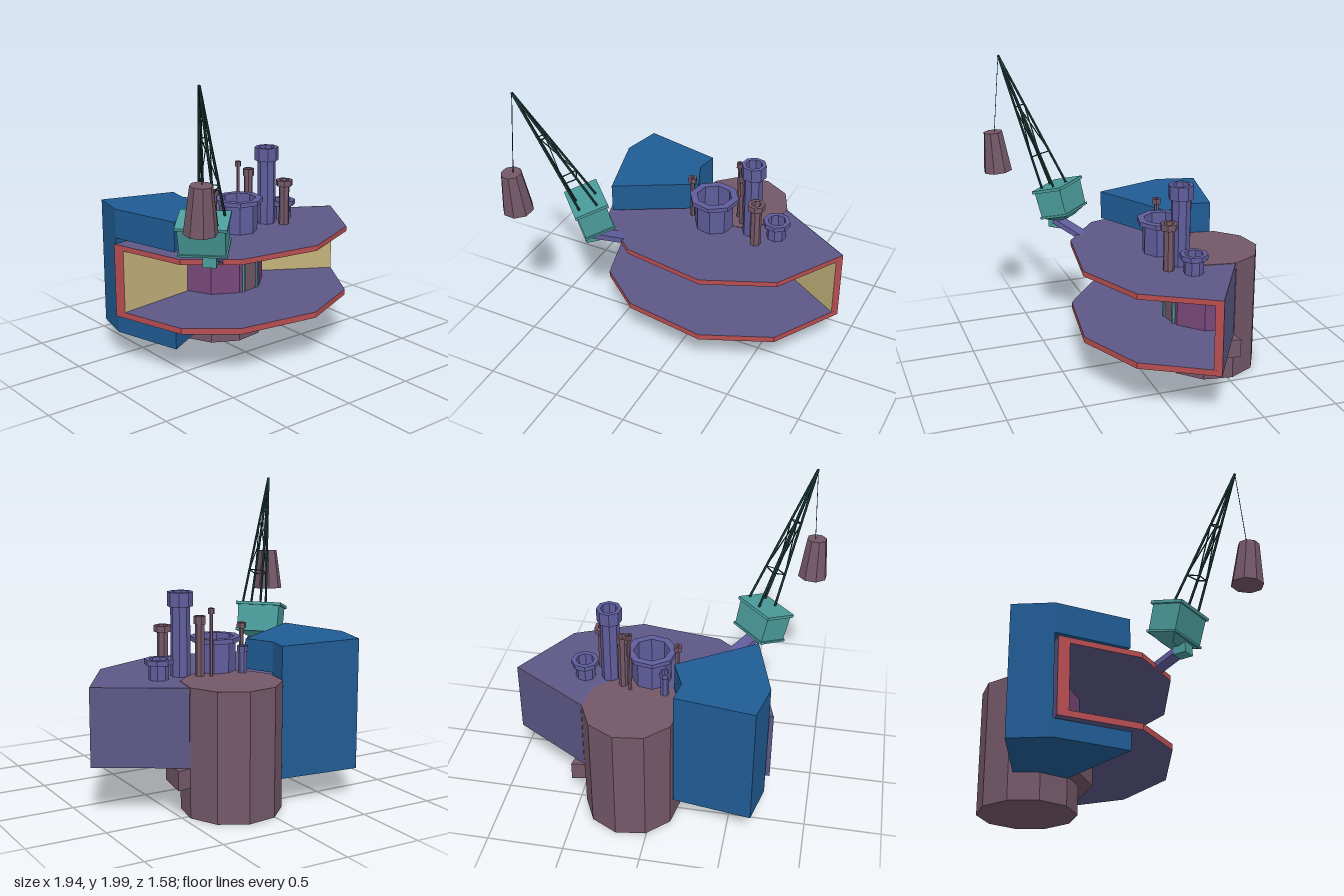
import * as THREE from 'three';

const mat = (name, color) => new THREE.MeshStandardMaterial({ name, color, side: THREE.DoubleSide });
const M = {
  deck: mat('deck violet', 0x5c5886), pipe: mat('pipe violet', 0x605d9c), stone: mat('dusky brown', 0x745868),
  blue: mat('block blue', 0x205c94), teal: mat('crane teal', 0x4b9c9c), boom: mat('boom dark green', 0x1d3d3a),
  yellow: mat('wall yellow', 0xc4b27c), red: mat('rim red', 0xb84e52), plum: mat('inner plum', 0x77487a),
};

export function createModel() {
  const root = new THREE.Group();

  // Flat-faced mesh
  const add = (name, geo, material, parent = root) => {
    const g = geo.index ? geo.toNonIndexed() : geo;
    g.computeVertexNormals();
    const m = new THREE.Mesh(g, material);
    m.name = name;
    parent.add(m);
    return m;
  };
  // Upright prism on an [x, z] outline
  const prism = (outline, y0, y1) => {
    const shape = new THREE.Shape(outline.map(([x, z]) => new THREE.Vector2(x, -z)));
    return new THREE.ExtrudeGeometry(shape, { depth: y1 - y0, bevelEnabled: false })
      .rotateX(-Math.PI / 2).translate(0, y0, 0);
  };
  // Upright sheet along an [x, z] path
  const sheet = (path, y0, y1) => {
    const pos = [];
    for (let i = 0; i < path.length - 1; i++) {
      const [ax, az] = path[i], [bx, bz] = path[i + 1];
      pos.push(ax, y0, az, bx, y0, bz, bx, y1, bz, ax, y0, az, bx, y1, bz, ax, y1, az);
    }
    const g = new THREE.BufferGeometry();
    g.setAttribute('position', new THREE.Float32BufferAttribute(pos, 3));
    return g;
  };
  // Straight rod between two points
  const rod = (name, a, b, r, parent, sides = 5) => {
    const d = b.clone().sub(a);
    const m = add(name, new THREE.CylinderGeometry(r, r, d.length(), sides), M.boom, parent);
    m.position.copy(a).add(b).multiplyScalar(0.5);
    m.quaternion.setFromUnitVectors(new THREE.Vector3(0, 1, 0), d.normalize());
  };

  // Ten-sided tower
  const CX = 0.145, CZ = -0.49;
  const arc = (r, from, count) => Array.from({ length: count }, (_, i) => {
    const a = THREE.MathUtils.degToRad(from + 36 * i);
    return [CX + r * Math.cos(a), CZ + r * Math.sin(a)];
  });
  add('tower', prism(arc(0.314, -8, 10), 0, 0.813), M.stone);
  add('towerCollar', prism(arc(0.405, -8, 6), 0.19, 0.313), M.stone);
  add('towerInnerWall', sheet(arc(0.318, -8, 6), 0.355, 0.775), M.plum);

  // Floor and roof decks with red rims
  const outline = [[-0.745, -0.42], [-0.6, 0.1], [-0.3, 0.34], [0.25, 0.42], [0.7, 0.225],
    [0.97, -0.22], [0.455, -0.53], [-0.17, -0.5]];
  add('floorDeck', prism(outline, 0.315, 0.355), [M.deck, M.red]);
  add('roofDeck', prism(outline, 0.775, 0.81), [M.deck, M.red]);

  // Side walls: outer skin, red end and yellow lining
  const walls = [
    { name: 'left', outer: [[0.972, -0.222], [0.455, -0.533]], inner: [[0.943, -0.177], [0.435, -0.485]] },
    { name: 'right', outer: [[-0.747, -0.422], [-0.17, -0.502]], inner: [[-0.725, -0.35], [-0.165, -0.43]] },
  ];
  for (const w of walls) {
    add(w.name + 'WallSkin', sheet(w.outer, 0.315, 0.81), M.deck);
    add(w.name + 'WallEnd', sheet([w.outer[0], w.inner[0]], 0.315, 0.81), M.red);
    add(w.name + 'WallLining', sheet(w.inner, 0.355, 0.775), M.yellow);
  }

  // Doorway on the tower facet
  const door = new THREE.Group();
  door.name = 'door';
  const da = THREE.MathUtils.degToRad(82);
  door.position.set(CX + 0.306 * Math.cos(da), 0.355, CZ + 0.306 * Math.sin(da));
  door.rotation.y = Math.PI / 2 - da;
  add('doorPanel', new THREE.BoxGeometry(0.11, 0.255, 0.008).translate(0, 0.128, 0), M.stone, door);
  for (const s of [-1, 1])
    add('doorPost', new THREE.BoxGeometry(0.014, 0.265, 0.025).translate(s * 0.06, 0.133, 0), M.teal, door);
  add('doorLintel', new THREE.BoxGeometry(0.134, 0.018, 0.025).translate(0, 0.27, 0), M.teal, door);
  root.add(door);

  // Blue block clamped around the decks, with a slight slope
  const blue = [[-0.66, -0.7], [-0.145, -0.61], [-0.17, -0.465], [-0.09, -0.27], [-0.59, 0.03], [-0.72, -0.44]];
  const column = [blue[0], blue[1], blue[2], blue[5]];
  const block = (name, poly, y0, y1) => {
    const g = prism(poly, y0, y1), p = g.attributes.position;
    for (let i = 0; i < p.count; i++) p.setY(i, p.getY(i) - 0.03 * (p.getX(i) + 0.7));
    add(name, g, M.blue);
  };
  block('blockTop', blue, 0.84, 1.035);
  block('blockColumn', column, 0.305, 0.84);
  block('blockBottom', blue, 0.19, 0.305);

  // Collared pipes: x, z, body radius, collar radius, hole radius, collar base, top
  const pipes = [
    [0.075, -0.17, 0.128, 0.165, 0.118, 1.005, 1.035, M.pipe, 8],
    [0.34, -0.195, 0.062, 0.081, 0.055, 1.25, 1.34, M.pipe, 8],
    [0.505, -0.22, 0.064, 0.09, 0.06, 0.905, 0.938, M.pipe, 8],
    [0.41, -0.09, 0.036, 0.057, 0.034, 1.08, 1.12, M.stone, 7],
    [0.243, -0.27, 0.03, 0.038, 0.025, 1.14, 1.19, M.stone, 7],
    [0.188, -0.315, 0.012, 0.021, 0.01, 1.205, 1.24, M.stone, 6],
    [-0.1, -0.2, 0.016, 0.03, 0.014, 1.075, 1.11, M.stone, 6],
    [-0.038, -0.32, 0.028, 0.037, 0.024, 0.95, 0.985, M.pipe, 7],
  ];
  pipes.forEach(([x, z, rb, rc, rh, yc, top, material, sides]) => {
    const profile = [[rb, 0.8], [rb, yc], [rc, yc], [rc, top], [rh, top], [rh, 0.8]]
      .map(([r, y]) => new THREE.Vector2(r, y));
    const m = add('roofPipe', new THREE.LatheGeometry(profile, sides, 0.2), material);
    m.position.set(x, 0, z);
  });

  // Crane arm and foot
  const yaw = -0.79;
  const arm = add('craneArm', new THREE.BoxGeometry(0.09, 0.035, 0.23), M.pipe);
  arm.rotation.order = 'YXZ';
  arm.rotation.set(-0.4, yaw, 0);
  arm.position.set(-0.48, 0.835, 0.29);
  const foot = add('craneFoot', new THREE.BoxGeometry(0.085, 0.07, 0.085), M.teal);
  foot.rotation.y = yaw;
  foot.position.set(-0.56, 0.865, 0.36);

  // Tilted crane cabin, origin at the middle of its top
  const cabin = new THREE.Group();
  cabin.name = 'craneCabin';
  cabin.rotation.order = 'YXZ';
  cabin.rotation.set(0.26, yaw, 0);
  cabin.position.set(-0.598, 1.122, 0.342);
  root.add(cabin);
  const taper = (w, h, d, k, y) => {
    const g = new THREE.BoxGeometry(w, h, d), p = g.attributes.position;
    for (let i = 0; i < p.count; i++)
      if (p.getY(i) < 0) p.setXYZ(i, p.getX(i) * k, p.getY(i), p.getZ(i) * k);
    return g.translate(0, y, 0);
  };
  add('cabinLid', new THREE.BoxGeometry(0.315, 0.02, 0.225).translate(0, -0.01, 0), M.teal, cabin);
  add('cabinBody', taper(0.29, 0.17, 0.2, 0.97, -0.105), M.teal, cabin);
  add('cabinSill', new THREE.BoxGeometry(0.3, 0.014, 0.21).translate(0, -0.196, 0), M.teal, cabin);
  add('cabinUnderside', taper(0.28, 0.04, 0.19, 0.45, -0.222), M.teal, cabin);

  // Lattice boom
  const boom = new THREE.Group();
  boom.name = 'craneBoom';
  root.add(boom);
  const V = (x, y, z) => new THREE.Vector3(x, y, z);
  const tip = V(-0.85, 1.985, 0.66);
  const feet = [V(-0.65, 1.09, 0.37), V(-0.575, 1.09, 0.45), V(-0.48, 1.14, 0.4), V(-0.555, 1.14, 0.29)];
  const at = (i, t) => feet[i % 4].clone().lerp(tip, t);
  for (let i = 0; i < 4; i++) {
    rod('boomStrut', feet[i], tip, 0.0085, boom);
    for (const t of [0.25, 0.62]) rod('boomTie', at(i, t), at(i + 1, t), 0.004, boom, 4);
    rod('boomBrace', at(i, 0.25), at(i + 1, 0.62), 0.004, boom, 4);
  }

  // Cable and hanging weight
  const hook = V(-0.872, 1.44, 0.705);
  rod('cable', tip, hook, 0.0025, root, 4);
  const weight = add('hangingWeight', new THREE.CylinderGeometry(0.066, 0.1, 0.28, 8), M.stone);
  weight.position.set(-0.877, 1.312, 0.7);
  weight.rotation.set(0.07, 0.3, 0.03);

  return root;
}
